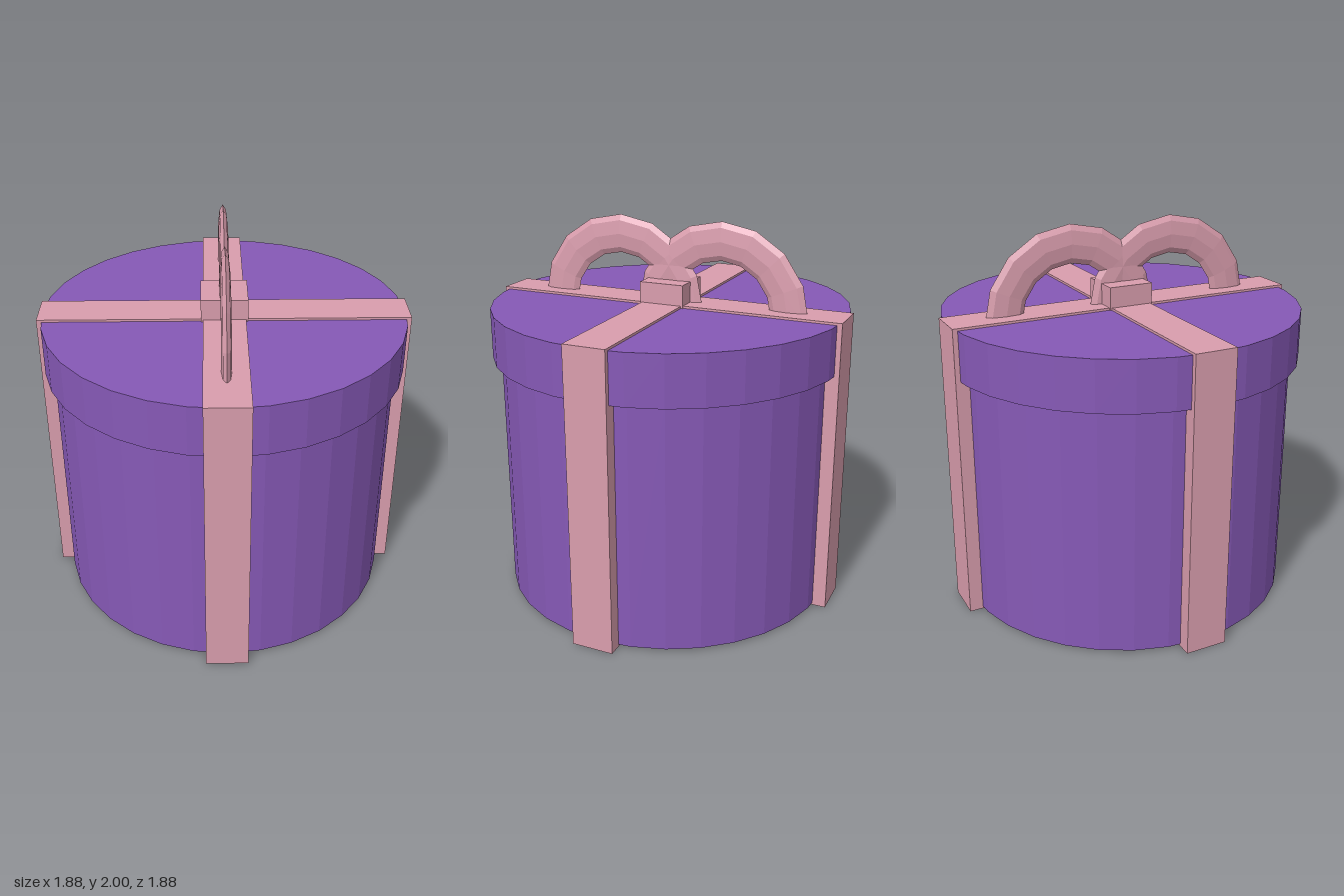
import * as THREE from 'three';

const purple = new THREE.MeshStandardMaterial({ color: 0x8659b6, flatShading: true });
purple.name = 'purple card';
const pink = new THREE.MeshStandardMaterial({ color: 0xd99dad, flatShading: true });
pink.name = 'pink ribbon';

export function createModel() {
  const model = new THREE.Group();
  model.name = 'giftBox';

  const add = (name, geometry, material, x, y, z) => {
    const mesh = new THREE.Mesh(geometry, material);
    mesh.name = name;
    mesh.position.set(x, y, z);
    model.add(mesh);
    return mesh;
  };
  const drum = (name, radius, y0, y1) =>
    add(name, new THREE.CylinderGeometry(radius, radius, y1 - y0, 32), purple, 0, (y0 + y1) / 2, 0);

  // Round box with an overhanging lid
  drum('boxBody', 0.895, 0.012, 1.31);
  drum('lid', 0.94, 1.3, 1.56);

  // Two crossed ribbons wrapping the whole box
  const top = 1.572;
  add('ribbonLengthwise', new THREE.BoxGeometry(1.91, top, 0.22), pink, 0, top / 2, 0);
  add('ribbonCrosswise', new THREE.BoxGeometry(0.22, top, 1.91), pink, 0, top / 2, 0);

  // Bow: square knot and two flattened loops standing along one ribbon
  add('bowKnot', new THREE.BoxGeometry(0.24, 0.14, 0.24), pink, 0, 1.61, 0);
  for (const [name, side] of [['bowLoopLeft', 1], ['bowLoopRight', -1]]) {
    const loop = add(name, new THREE.TorusGeometry(0.37, 0.1, 8, 8, Math.PI), pink, side * 0.285, 1.53, 0);
    loop.scale.z = 0.25;
  }

  // The gift is turned so the ribbons run diagonally
  model.rotation.y = THREE.MathUtils.degToRad(-48);
  const group = new THREE.Group();
  group.name = 'gift';
  group.add(model);
  return group;
}
